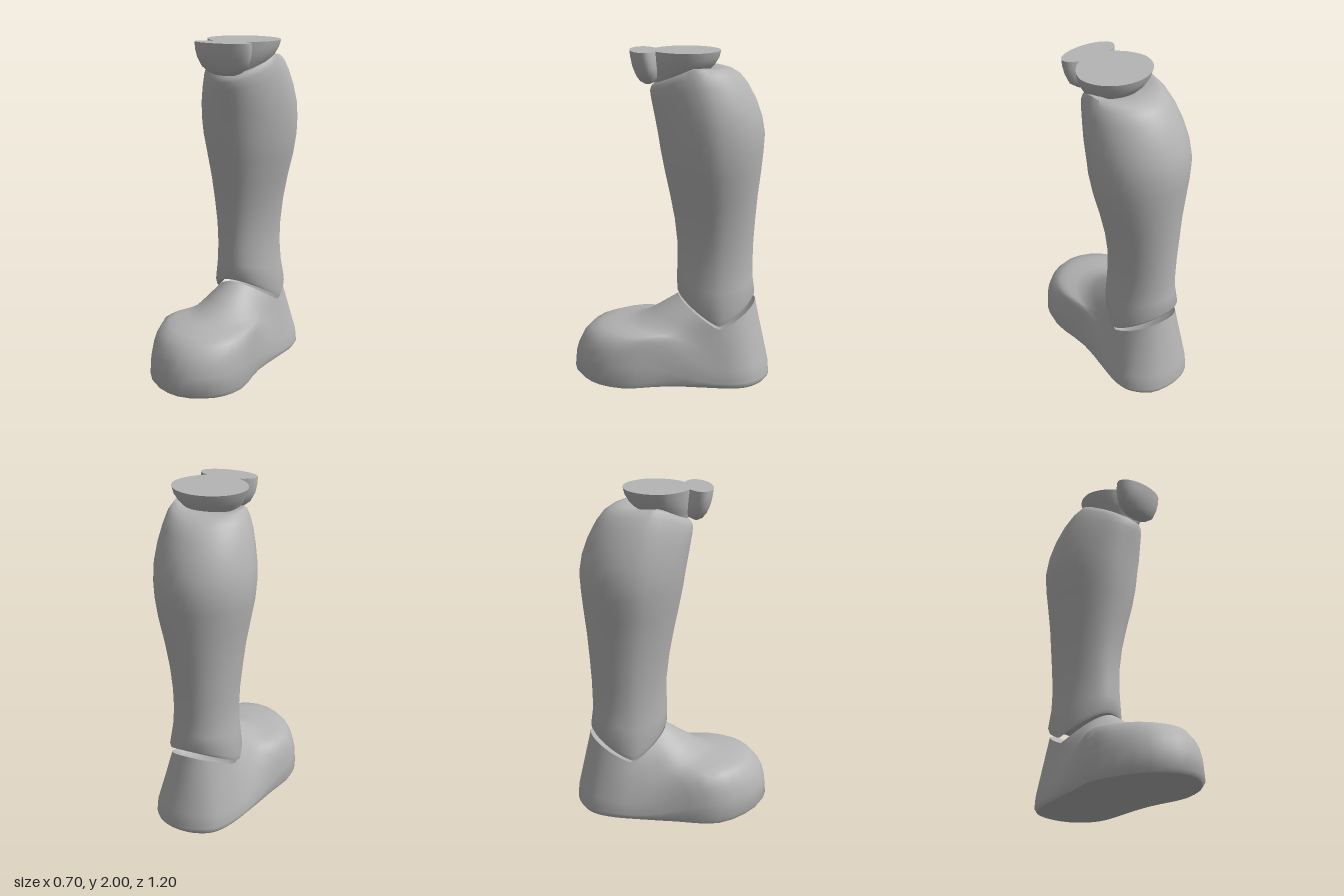
import * as THREE from 'three';
import { toCreasedNormals } from 'three/addons/utils/BufferGeometryUtils.js';

const SEG = 48;
const lerp = THREE.MathUtils.lerp;

// Skin closed rings (bottom to top) and close both ends onto a centre point
function loft(rings, bottomY, topY) {
  const n = rings[0].length, pos = [], idx = [];
  for (const ring of rings) for (const p of ring) pos.push(...p);
  for (let i = 0; i < rings.length - 1; i++) {
    for (let j = 0; j < n; j++) {
      const k = (j + 1) % n, a = i * n + j, b = i * n + k;
      idx.push(a, b, b + n, a, b + n, a + n);
    }
  }
  const cap = (row, y, up) => {
    const ring = rings[row], c = pos.length / 3;
    const mid = axis => ring.reduce((s, p) => s + p[axis], 0) / n;
    pos.push(mid(0), y, mid(2));
    for (let j = 0; j < n; j++) {
      const a = row * n + j, b = row * n + (j + 1) % n;
      idx.push(c, ...(up ? [a, b] : [b, a]));
    }
  };
  cap(0, bottomY, false);
  cap(rings.length - 1, topY, true);
  const g = new THREE.BufferGeometry();
  g.setAttribute('position', new THREE.Float32BufferAttribute(pos, 3));
  g.setIndex(idx);
  return toCreasedNormals(g, 0.85);
}

// Oval ring from its extents; front, back and side shift its height, taper narrows the front
function oval([y, x0, x1, zb, zf, front = 0, back = 0, side = 0], taper = 0) {
  const ring = [];
  for (let j = 0; j < SEG; j++) {
    const a = j / SEG * Math.PI * 2, c = Math.cos(a), s = Math.sin(a);
    const w = Math.pow(Math.abs(c), 1.2);
    const x = (x0 + x1) / 2 + (x1 - x0) / 2 * s * (1 - taper * Math.max(c, 0));
    const z = (zb + zf) / 2 + (zf - zb) / 2 * c;
    ring.push([x, y + lerp(side, c > 0 ? front : back, w), z]);
  }
  return ring;
}

// Piecewise linear lookup of y over fraction f
function sample(points, f) {
  for (let i = 1; i < points.length; i++) {
    const [f0, y0] = points[i - 1], [f1, y1] = points[i];
    if (f <= f1) return lerp(y0, y1, (f - f0) / (f1 - f0));
  }
  return points[points.length - 1][1];
}

// Shoe: the sole outline blends into the ankle collar along a toe or heel profile
function shoeGeometry() {
  const outline = [
    [0, 0.6], [0.2, 0.51], [0.285, 0.32], [0.27, 0.03], [0.31, -0.27], [0.32, -0.38],
    [0.295, -0.48], [0.2, -0.575], [0.06, -0.6], [-0.06, -0.57], [-0.13, -0.51],
    [-0.185, -0.4], [-0.225, -0.27], [-0.29, -0.03], [-0.35, 0.24], [-0.22, 0.5],
  ];
  const curve = new THREE.CatmullRomCurve3(
    outline.map(([x, z]) => new THREE.Vector3(x, 0, z)), true, 'catmullrom', 0.5);
  const collar = oval([0.36, -0.145, 0.25, -0.51, -0.04, 0.16, 0.13], 0.15);
  // Height along the way from sole edge to collar, as a share of the collar height
  const toe = [[0, 0.07], [0.015, 0.27], [0.04, 0.38], [0.08, 0.48], [0.16, 0.59], [0.31, 0.655],
    [0.55, 0.68], [0.64, 0.715], [0.78, 0.82], [1, 1]];
  const heel = [[0, 0.05], [0.06, 0.2], [1, 1]];
  const sole = collar.map((_, j) => curve.getPoint(j / SEG));
  const rings = [sole.map(p => [p.x * 0.96, Math.max(0, (p.z - 0.3) * 0.05), p.z * 0.97])];
  for (const f of [0, 0.015, 0.04, 0.08, 0.16, 0.25, 0.36, 0.5, 0.64, 0.78, 0.9, 1]) {
    rings.push(sole.map((p, j) => {
      const [cx, cy, cz] = collar[j];
      const front = THREE.MathUtils.smoothstep(p.z, -0.3, 0.25);
      const toeY = sample(toe, f) * lerp(cy, 0.52, (1 - f) * front);
      return [lerp(p.x, cx, f), lerp(sample(heel, f) * cy, toeY, front), lerp(p.z, cz, f)];
    }));
  }
  // Hollow inside the collar
  rings.push(oval([0.33, -0.1, 0.2, -0.46, -0.09, 0.11, 0.08], 0.15));
  return loft(rings, 0, 0.33);
}

// Lower leg: arched ankle hem, calf bulge and dipped top rim
function shinGeometry() {
  const rows = [
    [0.47, -0.12, 0.22, -0.45, -0.08, 0.06, 0.06, -0.03],
    [0.46, -0.165, 0.262, -0.495, -0.045, 0.07, 0.06, -0.075],
    [0.48, -0.172, 0.268, -0.505, -0.035, 0.07, 0.06, -0.06],
    [0.6, -0.153, 0.245, -0.493, -0.032, 0.03, 0.03, -0.02],
    [0.72, -0.148, 0.235, -0.49, -0.035],
    [0.85, -0.155, 0.238, -0.492, -0.035],
    [1.0, -0.17, 0.255, -0.5, -0.018],
    [1.15, -0.187, 0.285, -0.51, 0.01],
    [1.3, -0.212, 0.322, -0.525, 0.042],
    [1.42, -0.233, 0.342, -0.535, 0.065],
    [1.52, -0.24, 0.347, -0.54, 0.08],
    [1.62, -0.232, 0.347, -0.522, 0.095, -0.02],
    [1.72, -0.212, 0.335, -0.485, 0.108, -0.05],
    [1.81, -0.185, 0.318, -0.435, 0.12, -0.08],
    [1.88, -0.155, 0.3, -0.39, 0.125, -0.11, -0.015],
    [1.915, -0.13, 0.28, -0.35, 0.12, -0.125, -0.025],
    [1.915, -0.1, 0.25, -0.3, 0.1, -0.1, -0.01],
    [1.88, -0.06, 0.22, -0.24, 0.06, -0.04, 0.02],
  ];
  return loft(rows.map(r => oval(r, 0.15)), 0.5, 1.87);
}

// Knee stump, cut flat at the top
function kneeGeometry() {
  const rows = [
    [1.82, -0.03, 0.2, -0.17, 0.1],
    [1.88, -0.07, 0.25, -0.2, 0.115],
    [1.92, -0.095, 0.28, -0.24, 0.12],
    [1.96, -0.115, 0.3, -0.265, 0.12],
    [2.0, -0.13, 0.31, -0.275, 0.12],
  ];
  return loft(rows.map(r => oval(r, 0.1)), 1.82, 2);
}

// Kneecap, rounded below and cut flat at the top
function kneecapGeometry() {
  const rows = [
    [1.815, 0.02, 0.14, 0.115, 0.16],
    [1.83, -0.02, 0.18, 0.09, 0.185],
    [1.86, -0.06, 0.22, 0.075, 0.205],
    [1.91, -0.085, 0.24, 0.07, 0.225],
    [1.96, -0.095, 0.25, 0.075, 0.235],
    [2.0, -0.095, 0.25, 0.08, 0.24],
  ];
  return loft(rows.map(r => oval(r)), 1.81, 2);
}

export function createModel() {
  const grey = new THREE.MeshStandardMaterial({ color: 0xb4b4b4 });
  grey.name = 'grey';
  const group = new THREE.Group();
  group.name = 'lowerLeg';
  const parts = {
    shoe: shoeGeometry(), shin: shinGeometry(), knee: kneeGeometry(), kneecap: kneecapGeometry(),
  };
  for (const [name, geometry] of Object.entries(parts)) {
    const mesh = new THREE.Mesh(geometry, grey);
    mesh.name = name;
    group.add(mesh);
  }
  return group;
}
